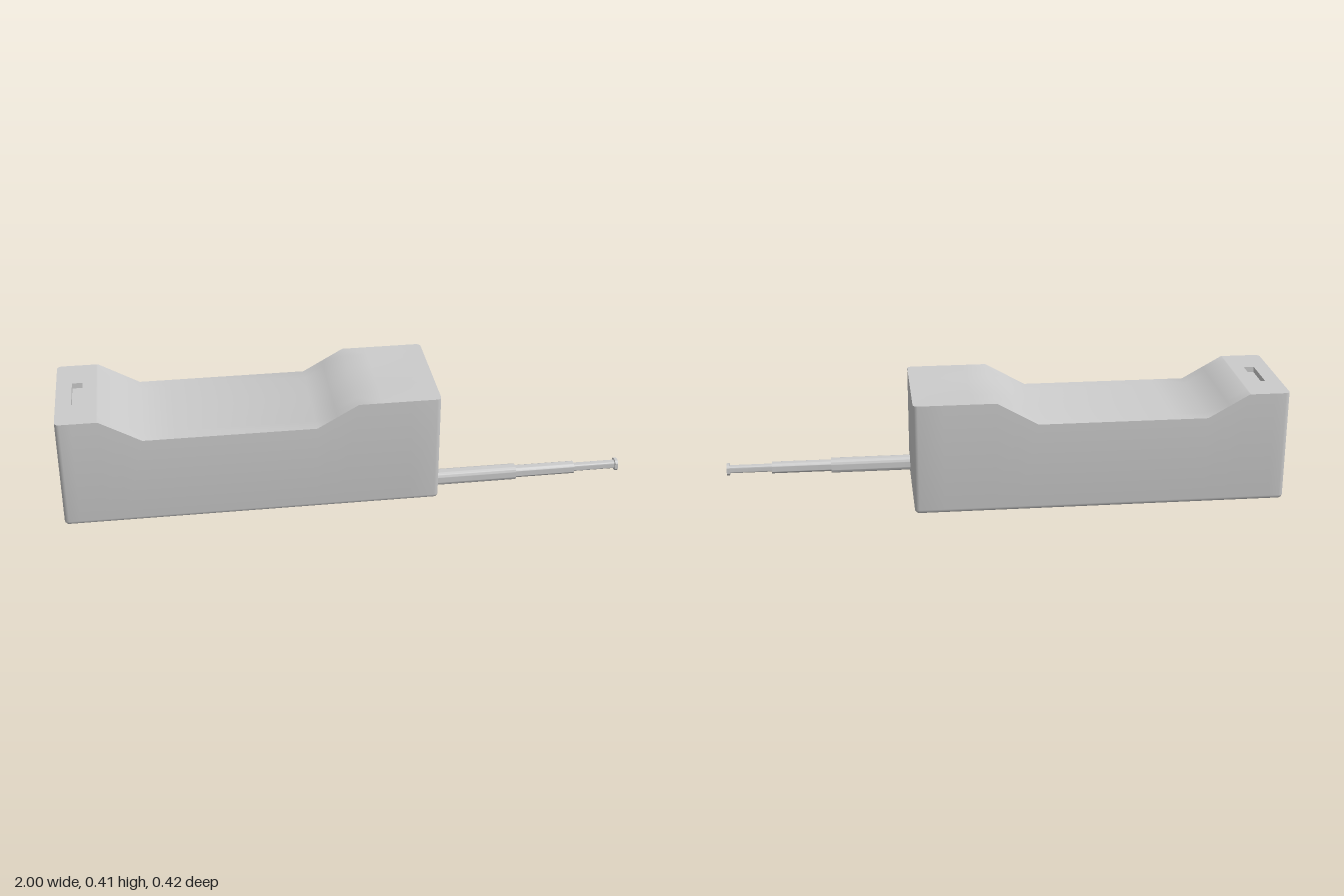
import * as THREE from 'three';
import { toCreasedNormals } from 'three/addons/utils/BufferGeometryUtils.js';

const W = 0.212, X0 = -1, X1 = 0.325, R = 0.016, RB = 0.015;
const SLOT = { x0: -0.945, x1: -0.908, z: 0.078, depth: 0.02 };

// Height of the top along the body: raised ends, sloping into a lower grip
const PROFILE = [[-1, 0.405], [-0.855, 0.405], [-0.71, 0.322], [-0.11, 0.322], [0.035, 0.405], [0.325, 0.405]];
function topY(x) {
  for (let i = 1; i < PROFILE.length; i++) {
    const [ax, ay] = PROFILE[i - 1], [bx, by] = PROFILE[i];
    if (x <= bx) return ay + (by - ay) * Math.max(0, (x - ax) / (bx - ax));
  }
  return PROFILE[PROFILE.length - 1][1];
}

// Shallow hollow around the crest of the right-hand slope
function hollow(x, f) {
  const t = x < 0.035 ? (x + 0.11) / 0.145 : (X1 - x) / (X1 - 0.035);
  return 0.008 * Math.min(1, Math.max(0, t)) * (1 - f * f) ** 2;
}

// Half widths of the rounded footprint at stations along x, inset by d
function stations(d) {
  const left = [], right = [], r = R - d;
  for (let k = 0; k <= 4; k++) {
    const a = (k / 4) * Math.PI / 2, h = W - R + r * Math.sin(a);
    left.push([X0 + R - r * Math.cos(a), h]);
    right.unshift([X1 - R + r * Math.cos(a), h]);
  }
  const middle = [SLOT.x0, SLOT.x1, -0.86, -0.855, -0.785, -0.71, -0.6, -0.11, -0.04, 0.035, 0.12, 0.22];
  return [...left, ...middle.map(x => [x, W - d]), ...right];
}

function bodyGeometry() {
  const pos = [];
  const quad = (a, b, c, d) => pos.push(...a, ...b, ...c, ...a, ...c, ...d);
  const ring = (st, y) => [
    ...st.map(([x, h]) => [x, y(x), h]),
    ...[...st].reverse().map(([x, h]) => [x, y(x), -h])
  ];
  const wall = (lo, hi) => lo.forEach((p, i) => {
    const j = (i + 1) % lo.length;
    quad(p, lo[j], hi[j], hi[i]);
  });

  // Rounded bottom edge and upright walls
  const rings = [];
  for (let k = 0; k <= 4; k++) {
    const b = (k / 4) * Math.PI / 2;
    rings.push(ring(stations(RB * (1 - Math.sin(b))), () => RB * (1 - Math.cos(b))));
  }
  const st = stations(0);
  rings.push(ring(st, topY));
  for (let k = 1; k < rings.length; k++) wall(rings[k - 1], rings[k]);

  // Underside
  const base = stations(RB);
  for (let i = 1; i < base.length; i++) {
    const [xa, ha] = base[i - 1], [xb, hb] = base[i];
    quad([xa, 0, -ha], [xb, 0, -hb], [xb, 0, hb], [xa, 0, ha]);
  }

  // Top surface, leaving the slot open
  const s = SLOT.z / W;
  const fractions = [-1, -0.75, -0.55, -s, -0.18, 0, 0.18, s, 0.55, 0.75, 1];
  const point = ([x, h], f) => [x, topY(x) - hollow(x, f), f * h];
  for (let i = 1; i < st.length; i++) {
    for (let k = 1; k < fractions.length; k++) {
      const f0 = fractions[k - 1], f1 = fractions[k];
      if (st[i - 1][0] === SLOT.x0 && Math.abs(f0 + f1) / 2 < s) continue;
      quad(point(st[i - 1], f0), point(st[i - 1], f1), point(st[i], f1), point(st[i], f0));
    }
  }

  // Recessed slot
  const y1 = topY(SLOT.x0), y0 = y1 - SLOT.depth;
  const corners = y => [[SLOT.x0, y, -SLOT.z], [SLOT.x1, y, -SLOT.z], [SLOT.x1, y, SLOT.z], [SLOT.x0, y, SLOT.z]];
  wall(corners(y0), corners(y1));
  const c = corners(y0);
  quad(c[3], c[2], c[1], c[0]);

  const g = new THREE.BufferGeometry();
  g.setAttribute('position', new THREE.Float32BufferAttribute(pos, 3));
  return toCreasedNormals(g, 0.6);
}

// Rounded-square rod running along x
function rodGeometry(r, length) {
  const c = r * 0.62, e = r - c, shape = new THREE.Shape();
  [[e, e], [-e, e], [-e, -e], [e, -e]].forEach(([x, y], i) =>
    shape.absarc(x, y, c, i * Math.PI / 2, (i + 1) * Math.PI / 2, false));
  shape.closePath();
  const g = new THREE.ExtrudeGeometry(shape, { depth: length, bevelEnabled: false, curveSegments: 5 });
  g.rotateY(Math.PI / 2);
  return toCreasedNormals(g, 0.6);
}

export function createModel() {
  const model = new THREE.Group();
  model.name = 'handset';
  const material = new THREE.MeshStandardMaterial({ color: 0xcccccc });
  const add = (parent, name, geometry) => {
    const mesh = new THREE.Mesh(geometry, material);
    mesh.name = name;
    parent.add(mesh);
    return mesh;
  };

  add(model, 'body', bodyGeometry());

  // Telescopic antenna
  const antenna = new THREE.Group();
  antenna.name = 'antenna';
  antenna.position.set(0, 0.05, 0.152);
  model.add(antenna);
  [
    ['antennaBase', 0.025, 0.31, 0.617],
    ['antennaMiddle', 0.0195, 0.61, 0.835],
    ['antennaEnd', 0.0135, 0.83, 0.99],
    ['antennaTip', 0.02, 0.989, 1]
  ].forEach(([name, r, a, b]) => {
    add(antenna, name, rodGeometry(r, b - a)).position.x = a;
  });

  return model;
}
